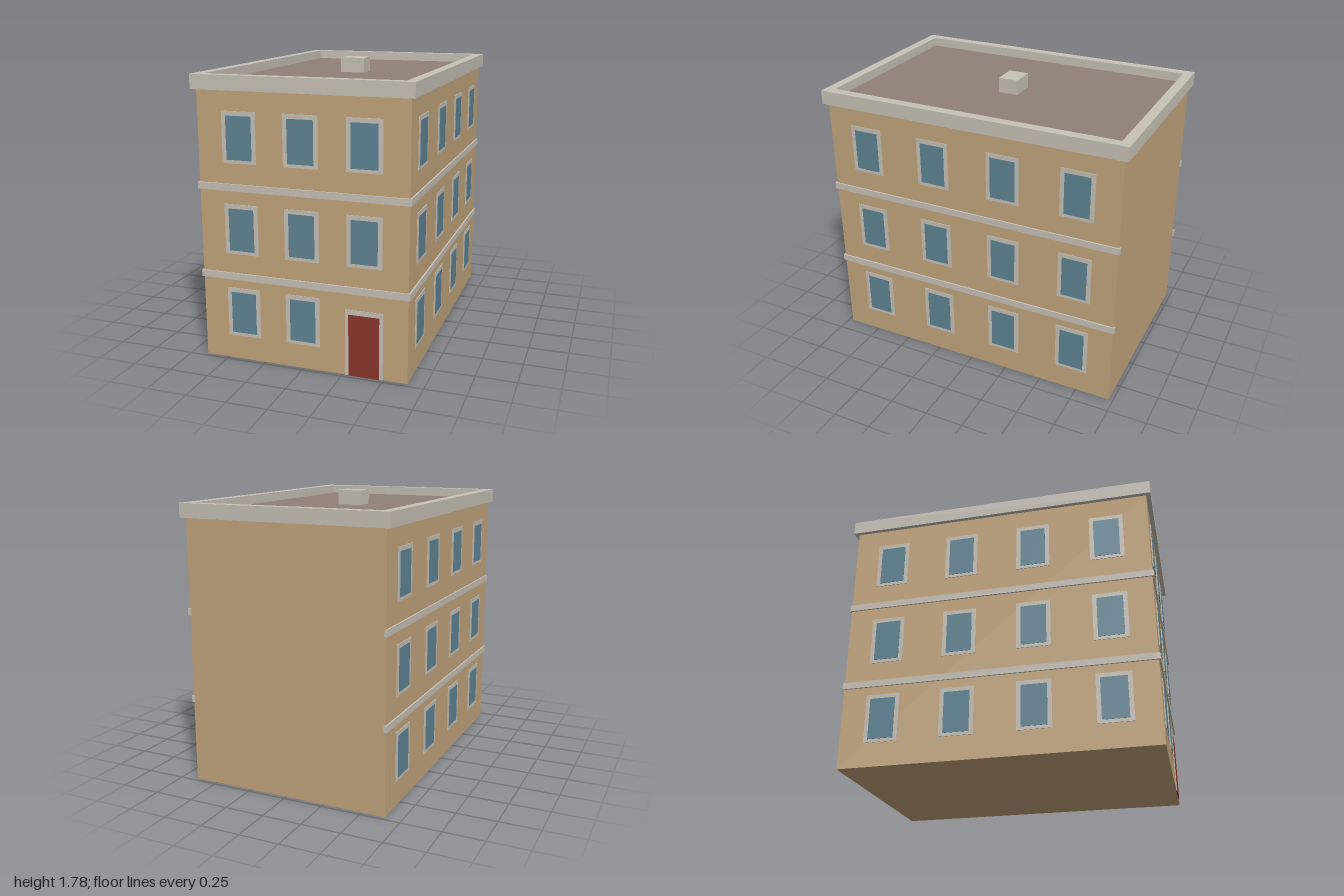
import * as THREE from 'three';

const mat = (name, color) => {
  const m = new THREE.MeshStandardMaterial({ color });
  m.name = name;
  return m;
};

export function createModel() {
  const wall = mat('sand wall', 0xc4a67d);
  const trim = mat('stone trim', 0xc8c3b9);
  const glass = mat('blue glass', 0x5f8595);
  const red = mat('red door', 0x8b372c);
  const roofing = mat('brown roofing', 0x90807a);

  const model = new THREE.Group();
  model.name = 'building';
  const W = 0.647, D = 0.972; // half width and half depth of the walls

  // Box given by its x, y and z ranges
  const box = (parent, name, material, [x0, x1], [y0, y1], [z0, z1]) => {
    const mesh = new THREE.Mesh(new THREE.BoxGeometry(x1 - x0, y1 - y0, z1 - z0), material);
    mesh.position.set((x0 + x1) / 2, (y0 + y1) / 2, (z0 + z1) / 2);
    mesh.name = name;
    parent.add(mesh);
  };

  box(model, 'walls', wall, [-W, W], [0, 1.665], [-D, D]);
  box(model, 'roof', roofing, [-0.62, 0.62], [1.66, 1.69], [-0.95, 0.95]);
  box(model, 'chimney', trim, [-0.08, 0.08], [1.685, 1.785], [-0.065, 0.065]);

  // Parapet: a rectangular ring overhanging the walls
  const ring = new THREE.Shape([[-0.673, -1], [0.673, -1], [0.673, 1], [-0.673, 1]].map(p => new THREE.Vector2(...p)));
  ring.holes.push(new THREE.Path([[-0.61, -0.937], [-0.61, 0.937], [0.61, 0.937], [0.61, -0.937]].map(p => new THREE.Vector2(...p))));
  const parapet = new THREE.Mesh(new THREE.ExtrudeGeometry(ring, { depth: 0.088, bevelEnabled: false }), trim);
  parapet.rotation.x = -Math.PI / 2;
  parapet.position.y = 1.66;
  parapet.name = 'parapet';
  model.add(parapet);

  // Floor bands on the front and both sides; the back is plain
  for (const y of [0.514, 1.066]) {
    const h = [y, y + 0.042];
    box(model, 'frontBand', trim, [-W - 0.01, W + 0.01], h, [D - 0.01, D + 0.01]);
    for (const s of [-1, 1]) {
      const x = s * W;
      box(model, 'sideBand', trim, [x - 0.01, x + 0.01], h, [-D - 0.008, D + 0.01]);
    }
  }

  // Window: glass plate on a framing plate, facing +z of its facade group
  const addWindow = (facade, x, y) => {
    const w = new THREE.Group();
    w.name = 'window';
    w.position.set(x, y, 0);
    box(w, 'windowFrame', trim, [-0.107, 0.107], [0.152, 0.46], [-0.002, 0.004]);
    box(w, 'windowGlass', glass, [-0.08, 0.08], [0.173, 0.433], [0, 0.0065]);
    facade.add(w);
  };
  const addFacade = (name, x, z, turn) => {
    const f = new THREE.Group();
    f.name = name;
    f.position.set(x, 0, z);
    f.rotation.y = turn;
    model.add(f);
    return f;
  };

  const front = addFacade('frontFacade', 0, D, 0);
  const right = addFacade('leftFacade', W, 0, Math.PI / 2);
  const left = addFacade('rightFacade', -W, 0, -Math.PI / 2);
  for (let floor = 0; floor < 3; floor++) {
    const y = floor * 0.54;
    const lift = [0, 0.525, 1.08][floor] || y;
    for (const x of [-0.383, 0, 0.383]) {
      if (floor > 0 || x < 0.3) addWindow(front, x, lift);
    }
    for (let i = 0; i < 4; i++) {
      const z = -0.708 + i * 0.472;
      addWindow(right, z, lift);
      addWindow(left, z, lift);
    }
  }

  // Door in the last bay of the ground floor
  box(front, 'doorFrame', trim, [0.265, 0.498], [0, 0.414], [-0.002, 0.004]);
  box(front, 'door', red, [0.287, 0.475], [0, 0.384], [0, 0.0065]);

  return model;
}
